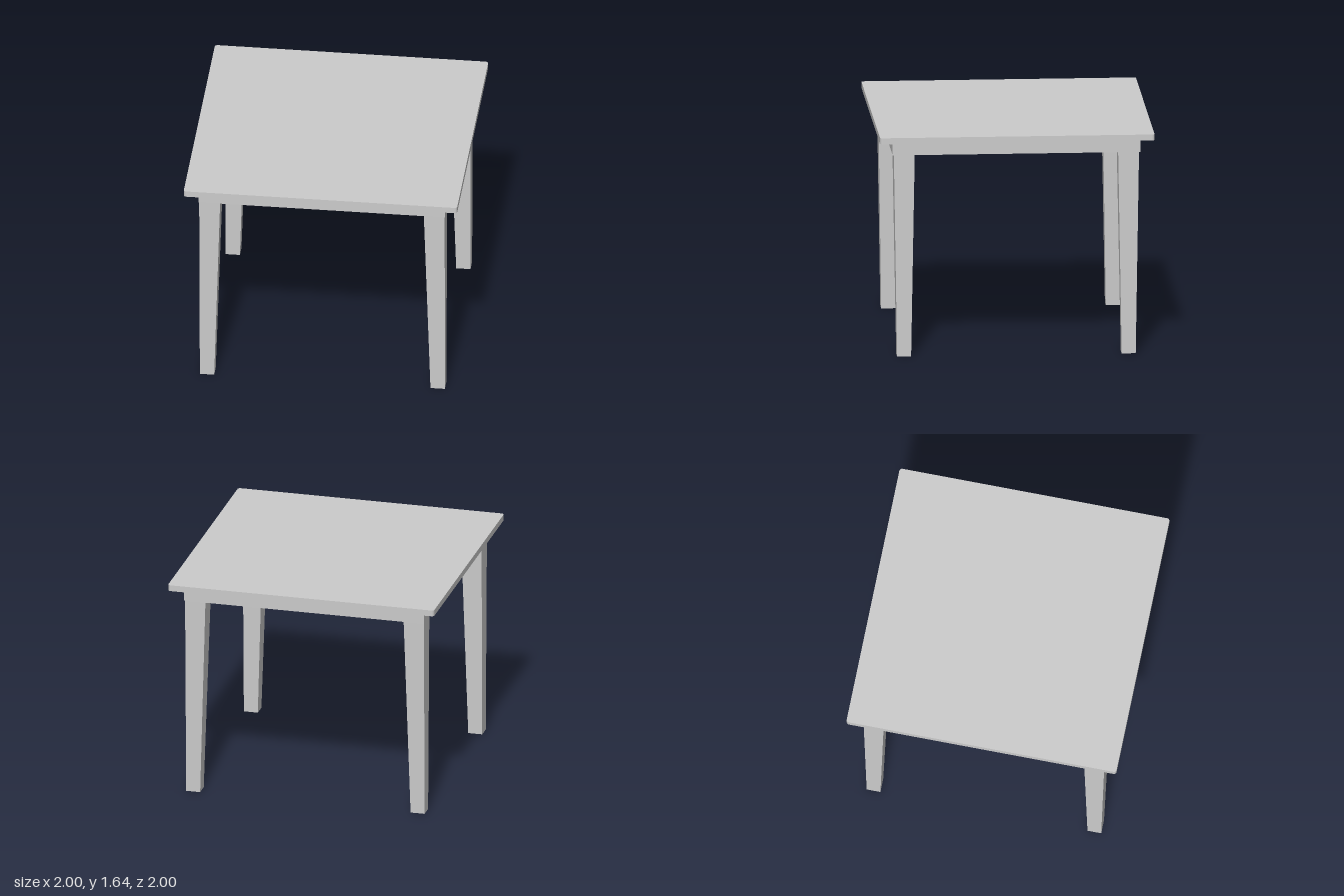
import * as THREE from 'three';

const material = new THREE.MeshStandardMaterial({ color: 0xcccccc, flatShading: true });

function addPart(group, name, geometry) {
  const mesh = new THREE.Mesh(geometry, material);
  mesh.name = name;
  group.add(mesh);
  return mesh;
}

// Square slab lying flat, with small rounded vertical corners
function slab(half, radius, y0, y1) {
  const shape = new THREE.Shape();
  const c = half - radius;
  shape.absarc(c, c, radius, 0, Math.PI / 2);
  shape.absarc(-c, c, radius, Math.PI / 2, Math.PI);
  shape.absarc(-c, -c, radius, Math.PI, Math.PI * 1.5);
  shape.absarc(c, -c, radius, Math.PI * 1.5, Math.PI * 2);
  return new THREE.ExtrudeGeometry(shape, { depth: y1 - y0, bevelEnabled: false, curveSegments: 4 })
    .rotateX(-Math.PI / 2)
    .translate(0, y0, 0);
}

// Tapered leg for the corner given by the signs sx, sz
function leg(sx, sz, height) {
  const top = { x: [0.745, 0.898], z: [0.741, 0.893] };
  const foot = { x: [0.791, 0.896], z: [0.767, 0.869] };
  const geometry = new THREE.BoxGeometry(1, 1, 1);
  const p = geometry.attributes.position;
  for (let i = 0; i < p.count; i++) {
    const end = p.getY(i) > 0 ? top : foot;
    const outerX = p.getX(i) * sx > 0 ? 1 : 0;
    const outerZ = p.getZ(i) * sz > 0 ? 1 : 0;
    p.setXYZ(i, sx * end.x[outerX], p.getY(i) > 0 ? height : 0, sz * end.z[outerZ]);
  }
  geometry.computeVertexNormals();
  return geometry;
}

export function createModel() {
  const table = new THREE.Group();
  table.name = 'table';

  // Top board
  addPart(table, 'tableTop', slab(1, 0.02, 1.6, 1.645));

  // Solid apron block under the board
  addPart(table, 'apron', new THREE.BoxGeometry(1.804, 0.104, 1.804)).position.y = 1.548;

  // Four legs
  for (const [side, sx] of [['Left', 1], ['Right', -1]])
    for (const [end, sz] of [['front', 1], ['back', -1]])
      addPart(table, `${end}${side}Leg`, leg(sx, sz, 1.497));

  return table;
}
